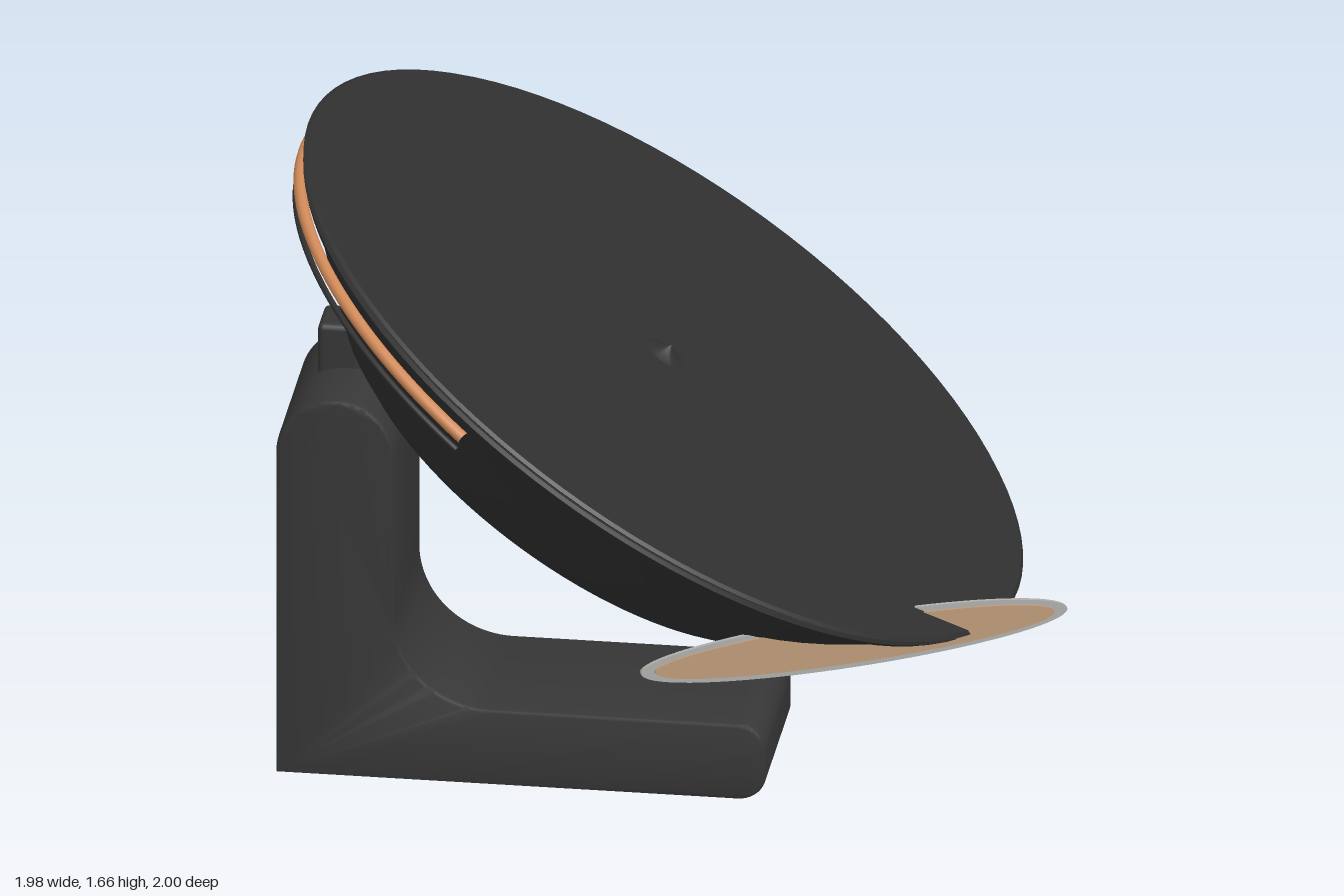
import * as THREE from 'three';
import { toCreasedNormals } from 'three/addons/utils/BufferGeometryUtils.js';
import { RoundedBoxGeometry } from 'three/addons/geometries/RoundedBoxGeometry.js';

const mat = (name, color, side = THREE.FrontSide) => {
  const m = new THREE.MeshStandardMaterial({ color, side });
  m.name = name;
  return m;
};

export function createModel() {
  const standGrey = mat('stand charcoal', 0x363636);
  const dishGrey = mat('dish charcoal', 0x2f2f2f);
  const copper = mat('copper', 0xd18a58);
  const tan = mat('pale copper', 0xbd9a7a);
  const silver = mat('silver', 0xaeaeab);

  const model = new THREE.Group();
  const add = (parent, name, geometry, material) => {
    const mesh = new THREE.Mesh(geometry, material);
    mesh.name = name;
    parent.add(mesh);
    return mesh;
  };
  const lathe = (points) => toCreasedNormals(
    new THREE.LatheGeometry(points.map(([r, y]) => new THREE.Vector2(r, y)), 96), 0.6);

  // L-shaped stand: round-topped post, filleted into a foot with a rounded toe
  const s = new THREE.Shape();
  s.moveTo(-0.99, 0);
  s.lineTo(0.16, 0);
  s.absarc(0.16, 0.07, 0.07, -Math.PI / 2, 0, false);
  s.absarc(0.16, 0.135, 0.07, 0, Math.PI / 2, false);
  s.lineTo(-0.46, 0.205);
  s.absarc(-0.46, 0.44, 0.235, -Math.PI / 2, Math.PI, true);
  s.lineTo(-0.695, 0.87);
  s.absarc(-0.8425, 0.87, 0.1475, 0, Math.PI, false);
  s.closePath();
  const standGeo = new THREE.ExtrudeGeometry(s, {
    depth: 0.43, curveSegments: 16, bevelThickness: 0.01, bevelSize: 0.01, bevelOffset: -0.01, bevelSegments: 2,
  });
  standGeo.translate(0, 0, -0.215);
  add(model, 'stand', toCreasedNormals(standGeo, 0.6), standGrey);

  // Small pivot block on the post
  add(model, 'pivotBlock', new RoundedBoxGeometry(0.105, 0.16, 0.13, 2, 0.015), standGrey)
    .position.set(-0.8625, 1.05, -0.04);

  // Tilted dish, slightly narrower in depth
  const dish = new THREE.Group();
  dish.name = 'dish';
  dish.position.set(-0.055, 1.092, 0);
  dish.rotation.z = -0.575;
  dish.scale.z = 0.948;
  model.add(dish);

  // Bowl with a shallow hollow underneath and a closed top
  add(dish, 'bowl', lathe([
    [0, -0.35], [0.3, -0.36], [0.47, -0.385], [0.53, -0.398], [0.59, -0.39], [0.67, -0.36], [0.74, -0.315],
    [0.88, -0.175], [0.97, -0.085], [1.025, -0.045], [1.04, -0.028], [1.035, -0.018], [0, -0.018],
  ]), dishGrey);

  // Thin cover floating just above the bowl
  add(dish, 'cover', lathe([[0, -0.009], [1.045, -0.009], [1.055, -0.003], [1.045, 0.004], [0, 0.006]]), dishGrey);
  add(dish, 'centreBoss', lathe([[0.06, 0.004], [0.025, 0.014], [0, 0.034]]), dishGrey);

  // Trim bands wrapped around the raised edge
  const band = (name, radius, tube, y, material) => {
    const arc = 2.34;
    const g = new THREE.TorusGeometry(radius, tube, 10, 72, arc);
    g.rotateZ(Math.PI - arc / 2).rotateX(Math.PI / 2);
    add(dish, name, g, material).position.y = y;
  };
  band('copperBand', 1.02, 0.016, -0.074, copper);
  band('darkBand', 1.005, 0.008, -0.116, dishGrey);

  // Upright oval plate crossing the low edge of the dish
  const plate = new THREE.Group();
  plate.name = 'ovalPlate';
  plate.position.set(0.49, 0.585, 0.512);
  plate.rotation.y = Math.atan2(0.265, 0.495);
  model.add(plate);
  const oval = (name, a, b, z, depth, material) => {
    const g = new THREE.CylinderGeometry(1, 1, depth, 72);
    g.rotateX(Math.PI / 2).scale(a, b, 1);
    add(plate, name, g, material).position.z = z;
  };
  oval('plateBack', 0.56, 0.07, 0, 0.01, silver);
  oval('plateFace', 0.525, 0.056, 0.008, 0.006, tan);

  return model;
}
